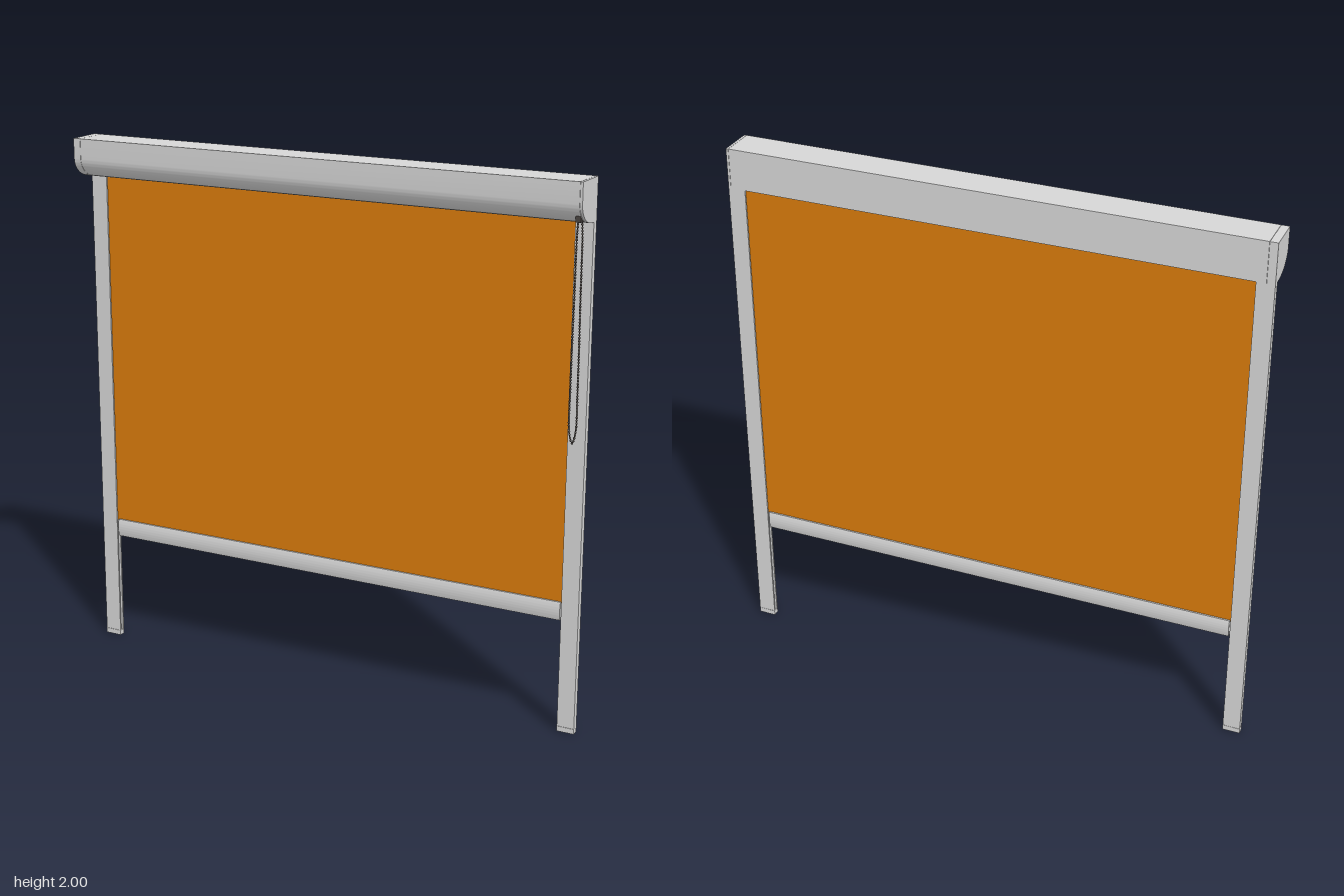
import * as THREE from 'three';
import { mergeGeometries, toCreasedNormals } from 'three/addons/utils/BufferGeometryUtils.js';

const material = (name, color) => {
  const m = new THREE.MeshStandardMaterial({ color });
  m.name = name;
  return m;
};

export function createModel() {
  const model = new THREE.Group();
  model.name = 'rollerBlind';
  const aluminium = material('aluminium', 0xd6d6d6);
  const orange = material('orangeFabric', 0xd97b0c);
  orange.side = THREE.DoubleSide;
  const dark = material('darkChain', 0x4a4440);

  const add = (name, geometry, mat, parent = model) => {
    const mesh = new THREE.Mesh(geometry, mat);
    mesh.name = name;
    parent.add(mesh);
    return mesh;
  };
  const box = (name, x0, x1, y0, y1, z0, z1, mat, parent) => {
    const g = new THREE.BoxGeometry(x1 - x0, y1 - y0, z1 - z0);
    g.translate((x0 + x1) / 2, (y0 + y1) / 2, (z0 + z1) / 2);
    return add(name, g, mat, parent);
  };
  // Extrudes a side profile (drawn with -z across, y up) from x0 to x1
  const extrudeX = (shape, x0, x1) => {
    const g = new THREE.ExtrudeGeometry(shape, { depth: x1 - x0, bevelEnabled: false, curveSegments: 20 });
    g.rotateY(Math.PI / 2);
    g.translate(x0, 0, 0);
    return toCreasedNormals(g, 0.5);
  };

  const back = -0.068, postFront = -0.043;

  // Cassette: flat back and top, rounded lower front
  const profile = new THREE.Shape();
  profile.moveTo(0.068, 1.85);
  profile.lineTo(0.068, 2);
  profile.lineTo(-0.068, 2);
  profile.lineTo(-0.068, 1.925);
  profile.bezierCurveTo(-0.066, 1.885, -0.025, 1.85, 0.035, 1.85);
  profile.closePath();
  add('cassette', extrudeX(profile, -0.97, 0.99), aluminium);
  add('rightEndCap', extrudeX(profile, -1, -0.971), aluminium);
  add('leftEndCap', extrudeX(profile, 0.991, 1), aluminium);

  // Side posts: channels opening inwards, each with a foot plug
  for (const side of [-1, 1]) {
    const post = new THREE.Group();
    post.name = side > 0 ? 'leftPost' : 'rightPost';
    model.add(post);
    const wall = (name, a, b, z0, z1) =>
      box(name, Math.min(side * a, side * b), Math.max(side * a, side * b), 0.02, 1.85, z0, z1, aluminium, post);
    wall('outerWall', 0.975, 1, back, postFront);
    wall('frontLip', 0.935, 0.975, postFront - 0.006, postFront);
    wall('backLip', 0.935, 0.975, back, back + 0.006);
    box('foot', side > 0 ? 0.935 : -1, side > 0 ? 1 : -0.935, 0, 0.019, back, postFront, aluminium, post);
  }

  // Fabric sheet running inside the channels
  box('fabric', -0.95, 0.95, 0.485, 1.855, -0.0565, -0.0545, orange);

  // Bottom bar with softly bulged faces
  const bar = new THREE.Shape();
  bar.moveTo(0.063, 0.422);
  bar.quadraticCurveTo(0.073, 0.456, 0.063, 0.49);
  bar.lineTo(0.048, 0.49);
  bar.quadraticCurveTo(0.038, 0.456, 0.048, 0.422);
  bar.closePath();
  add('bottomBar', extrudeX(bar, -0.93, 0.93), aluminium);

  // Control chain: closed loop of beads on a thin cord
  const chain = new THREE.Group();
  chain.name = 'controlChain';
  model.add(chain);
  const path = new THREE.CatmullRomCurve3([
    [0.981, 1.895], [0.988, 1.86], [0.992, 1.6], [0.994, 1.3], [0.992, 1.14], [0.981, 1.104],
    [0.97, 1.14], [0.968, 1.3], [0.97, 1.6], [0.974, 1.86],
  ].map(([x, y]) => new THREE.Vector3(x, y, 0.033)), true);
  add('cord', new THREE.TubeGeometry(path, 120, 0.002, 5, true), dark, chain);
  const beads = path.getSpacedPoints(150).slice(0, 150).map((p) =>
    new THREE.SphereGeometry(0.0042, 8, 6).translate(p.x, p.y, p.z));
  add('beads', mergeGeometries(beads), dark, chain);

  // Chain outlet on the underside of the cassette
  box('chainOutlet', 0.971, 0.989, 1.862, 1.895, 0.022, 0.05, dark);

  return model;
}
